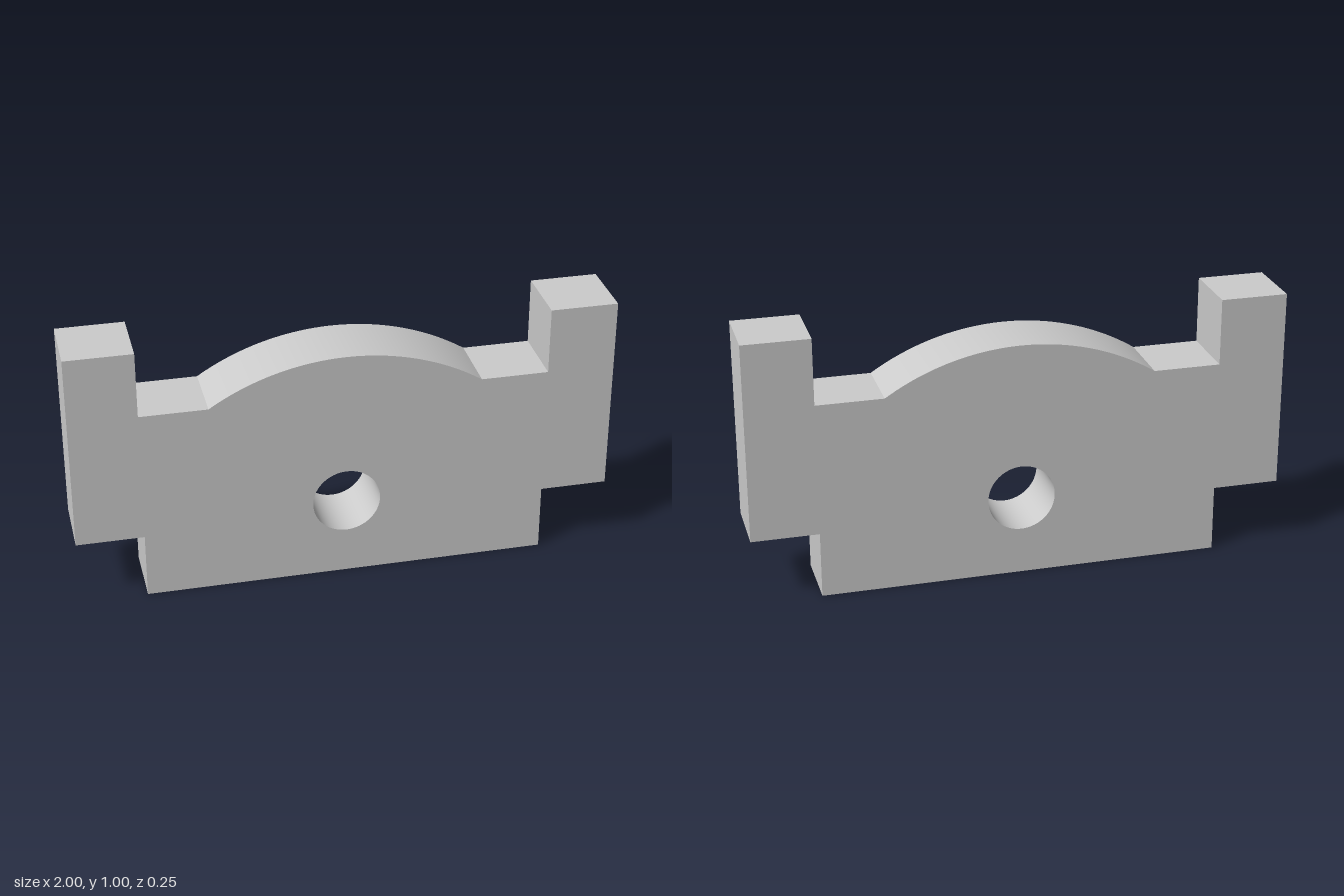
import * as THREE from 'three';
import { toCreasedNormals } from 'three/addons/utils/BufferGeometryUtils.js';

const DEPTH = 0.25;

export function createModel() {
  const group = new THREE.Group();
  group.name = 'bracketPlate';

  // Stepped outline, right half from the bottom up to the foot of the arch
  const half = [[0.75, 0], [0.75, 0.25], [1, 0.25], [1, 1], [0.75, 1], [0.75, 0.75], [0.5, 0.75]];
  const mirrored = half.map(([x, y]) => [-x, y]).reverse();

  // Shallow arch through both feet, rising to y = 0.9
  const rise = 0.15, halfChord = 0.5;
  const radius = (halfChord ** 2 + rise ** 2) / (2 * rise);
  const start = Math.acos(halfChord / radius);

  const outline = new THREE.Shape();
  outline.moveTo(-0.75, 0);
  half.forEach(([x, y]) => outline.lineTo(x, y));
  outline.absarc(0, 0.9 - radius, radius, start, Math.PI - start, false);
  mirrored.slice(1).forEach(([x, y]) => outline.lineTo(x, y));

  // Round through hole
  const hole = new THREE.Path();
  hole.absarc(0, 0.302, 0.126, 0, Math.PI * 2, true);
  outline.holes.push(hole);

  const geometry = new THREE.ExtrudeGeometry(outline, { depth: DEPTH, bevelEnabled: false, curveSegments: 32 });
  geometry.translate(0, 0, -DEPTH / 2);

  const plate = new THREE.Mesh(
    toCreasedNormals(geometry, 0.4),
    new THREE.MeshStandardMaterial({ color: 0xcccccc })
  );
  plate.name = 'plate';
  group.add(plate);
  return group;
}
